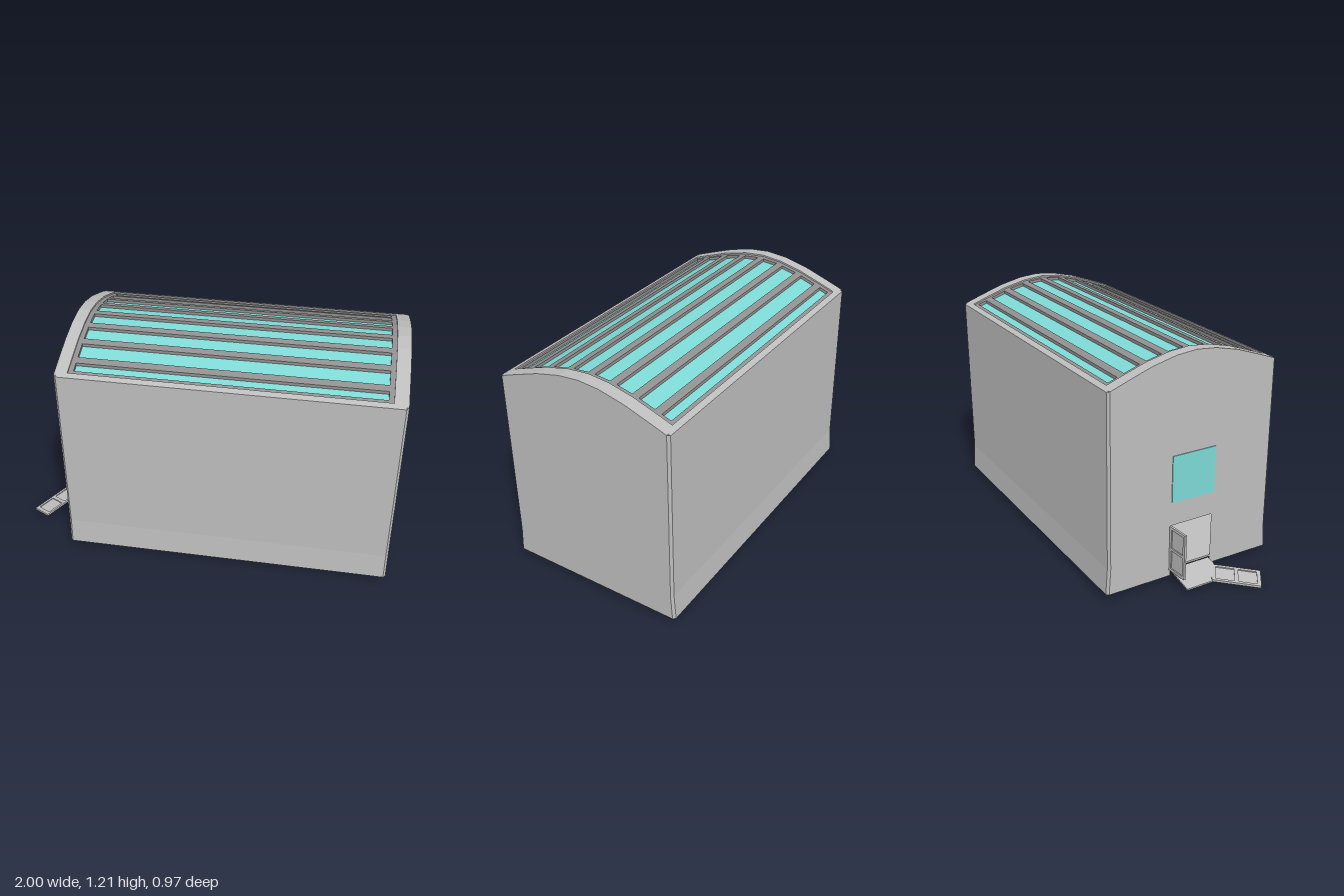
import * as THREE from 'three';

const wallMat = new THREE.MeshStandardMaterial({ color: 0xbebebe, side: THREE.DoubleSide });
wallMat.name = 'wall grey';
const frameMat = new THREE.MeshStandardMaterial({ color: 0x909090 });
frameMat.name = 'roof frame grey';
const glassMat = new THREE.MeshStandardMaterial({ color: 0x7dd9d5 });
glassMat.name = 'teal glass';

const X0 = -0.71, X1 = 1, HZ = 0.475, BOTTOM = 0.03, CH = 0.012;

// Arched roof: height for a given z
const ARCH = [[0, 1.205], [0.11, 1.195], [0.24, 1.164], [0.36, 1.122], [HZ, 1.08]];
const BREAKS = [...ARCH.slice(1).reverse().map(p => -p[0]), ...ARCH.map(p => p[0])];
function roofY(z) {
  const a = Math.abs(z);
  for (let i = 1; i < ARCH.length; i++) {
    const [z0, y0] = ARCH[i - 1], [z1, y1] = ARCH[i];
    if (a <= z1 + 1e-6) return y0 + (y1 - y0) * (a - z0) / (z1 - z0);
  }
  return ARCH[ARCH.length - 1][1];
}
const between = (z0, z1) => [z0, ...BREAKS.filter(z => z > z0 + 1e-4 && z < z1 - 1e-4), z1];

export function createModel() {
  const model = new THREE.Group();
  model.name = 'archedShelter';
  const add = (name, geo, mat, parent = model) => {
    const mesh = new THREE.Mesh(geo, mat);
    mesh.name = name;
    parent.add(mesh);
    return mesh;
  };
  const group = name => {
    const g = new THREE.Group();
    g.name = name;
    model.add(g);
    return g;
  };

  // Walls: strip around the front, left end and back, flared at the foot
  const path = [[X0, HZ - CH], [X0 + CH, HZ], [X1 - CH, HZ],
    ...between(-HZ + CH, HZ - CH).reverse().map(z => [X1, z]),
    [X1 - CH, -HZ], [X0 + CH, -HZ], [X0, -HZ + CH]];
  const pos = [];
  const ring = ([x, z]) => [
    [x, BOTTOM, z * 1.02], [x, 0.17, z], [x, roofY(z), z]];
  for (let i = 0; i < path.length - 1; i++) {
    const a = ring(path[i]), b = ring(path[i + 1]);
    for (let j = 0; j < 2; j++)
      pos.push(...a[j], ...b[j], ...b[j + 1], ...a[j], ...b[j + 1], ...a[j + 1]);
  }
  const walls = new THREE.BufferGeometry();
  walls.setAttribute('position', new THREE.Float32BufferAttribute(pos, 3));
  walls.computeVertexNormals();
  add('walls', walls, wallMat);

  // Door end wall with a doorway notch
  const e = HZ - CH, doorTop = 0.315, doorHalf = 0.12;
  const end = [[-e * 1.02, BOTTOM], [-doorHalf, BOTTOM], [-doorHalf, doorTop],
    [doorHalf, doorTop], [doorHalf, BOTTOM], [e * 1.02, BOTTOM], [e, 0.17],
    ...between(-e, e).reverse().map(z => [z, roofY(z)]), [-e, 0.17]];
  const endGeo = new THREE.ShapeGeometry(new THREE.Shape(end.map(p => new THREE.Vector2(...p))));
  endGeo.rotateY(-Math.PI / 2);
  endGeo.translate(X0, 0, 0);
  add('doorEndWall', endGeo, wallMat);

  // Raised floor
  const floor = new THREE.BoxGeometry(X1 - X0 - 0.01, 0.01, 2 * HZ - 0.006);
  floor.translate((X0 + X1) / 2, 0.07, 0);
  add('floor', floor, wallMat);

  // Curved slab following the arch
  const slab = (x0, x1, z0, z1, drop, thick) => {
    const zs = between(z0, z1);
    const pts = [...zs.map(z => new THREE.Vector2(-z, roofY(z) - drop)),
      ...zs.slice().reverse().map(z => new THREE.Vector2(-z, roofY(z) - drop - thick))];
    const g = new THREE.ExtrudeGeometry(new THREE.Shape(pts), { depth: x1 - x0, bevelEnabled: false });
    g.rotateY(Math.PI / 2);
    g.translate(x0, 0, 0);
    return g;
  };

  // Roof border
  const rim = group('roofBorder');
  const ix0 = -0.645, ix1 = 0.93, iz = 0.445;
  add('borderEdge', slab(X0, X0 + CH, -e, e, 0, 0.04), wallMat, rim);
  add('borderEnd', slab(X0 + CH, ix0, -HZ, HZ, 0, 0.04), wallMat, rim);
  add('borderEnd', slab(ix1, X1 - CH, -HZ, HZ, 0, 0.04), wallMat, rim);
  add('borderEdge', slab(X1 - CH, X1, -e, e, 0, 0.04), wallMat, rim);
  add('borderSide', slab(ix0, ix1, iz, HZ, 0, 0.04), wallMat, rim);
  add('borderSide', slab(ix0, ix1, -HZ, -iz, 0, 0.04), wallMat, rim);

  // Skylight: glass sheet behind a frame of bars
  const sky = group('skylight');
  const gx0 = -0.62, gx1 = 0.905;
  add('skylightGlass', slab(gx0 - 0.005, gx1 + 0.005, -0.43, 0.43, 0.024, 0.012), glassMat, sky);
  add('frameEnd', slab(ix0, gx0, -iz, iz, 0.008, 0.03), frameMat, sky);
  add('frameEnd', slab(gx1, ix1, -iz, iz, 0.008, 0.03), frameMat, sky);
  const bars = [[-iz, -0.423]];
  for (let i = -3; i <= 3; i++) bars.push([i * 0.119 - 0.018, i * 0.119 + 0.018]);
  bars.push([0.423, iz]);
  for (const [z0, z1] of bars) add('frameBar', slab(gx0, gx1, z0, z1, 0.008, 0.03), frameMat, sky);

  // Window above the door
  const pane = new THREE.BoxGeometry(0.006, 0.25, 0.25);
  pane.translate(X0 - 0.001, 0.565, 0.005);
  add('endWindow', pane, glassMat);

  // Open door leaf: panel with a raised frame and hinges
  const door = group('door');
  door.position.set(X0, 0.066, -doorHalf);
  door.rotation.y = 0.08;
  const panel = new THREE.BoxGeometry(0.12, 0.248, 0.006);
  panel.translate(-0.06, 0.124, 0);
  add('doorPanel', panel, wallMat, door);
  const rect = (P, x0, y0, x1, y1) => new P([[x0, y0], [x1, y0], [x1, y1], [x0, y1]].map(p => new THREE.Vector2(...p)));
  const leaf = rect(THREE.Shape, -0.12, 0, 0, 0.248);
  leaf.holes.push(rect(THREE.Path, -0.105, 0.015, -0.015, 0.117), rect(THREE.Path, -0.105, 0.131, -0.015, 0.233));
  const leafGeo = new THREE.ExtrudeGeometry(leaf, { depth: 0.006, bevelEnabled: false });
  leafGeo.translate(0, 0, -0.009);
  add('doorFrame', leafGeo, wallMat, door);
  for (const y of [0.1, 0.19]) {
    const hinge = new THREE.BoxGeometry(0.007, 0.02, 0.008);
    hinge.translate(-0.024, y, 0.004);
    add('doorHinge', hinge, frameMat, door);
  }

  // Sloping porch and angled ramp: flat plates sheared down towards -x
  const V = (x, z) => new THREE.Vector2(x, -z);
  const plate = (shape, lift, depth) => {
    const g = new THREE.ExtrudeGeometry(shape, { depth, bevelEnabled: false });
    g.rotateX(-Math.PI / 2);
    const p = g.attributes.position;
    for (let i = 0; i < p.count; i++) p.setY(i, p.getY(i) + lift + 0.2 * (p.getX(i) + 1));
    g.computeVertexNormals();
    return g;
  };
  add('porch', plate(new THREE.Shape([V(-0.865, -0.12), V(X0, -0.12), V(X0, 0.112),
    V(-0.768, 0.112), V(-0.765, 0.095), V(-0.865, 0.03)]), 0, 0.008), wallMat);
  const at = (s, t) => V(-0.86 + 0.095 * s - 0.14 * t, 0.03 + 0.065 * s + 0.205 * t);
  const quad = (P, s0, s1, t0, t1) => new P([at(s0, t0), at(s1, t0), at(s1, t1), at(s0, t1)]);
  const ramp = group('ramp');
  add('rampBoard', plate(quad(THREE.Shape, 0, 1, 0, 1), 0, 0.006), wallMat, ramp);
  const rails = quad(THREE.Shape, 0, 1, 0, 1);
  rails.holes.push(quad(THREE.Path, 0.12, 0.88, 0.08, 0.46), quad(THREE.Path, 0.12, 0.88, 0.54, 0.92));
  add('rampRails', plate(rails, 0.006, 0.006), wallMat, ramp);

  return model;
}
